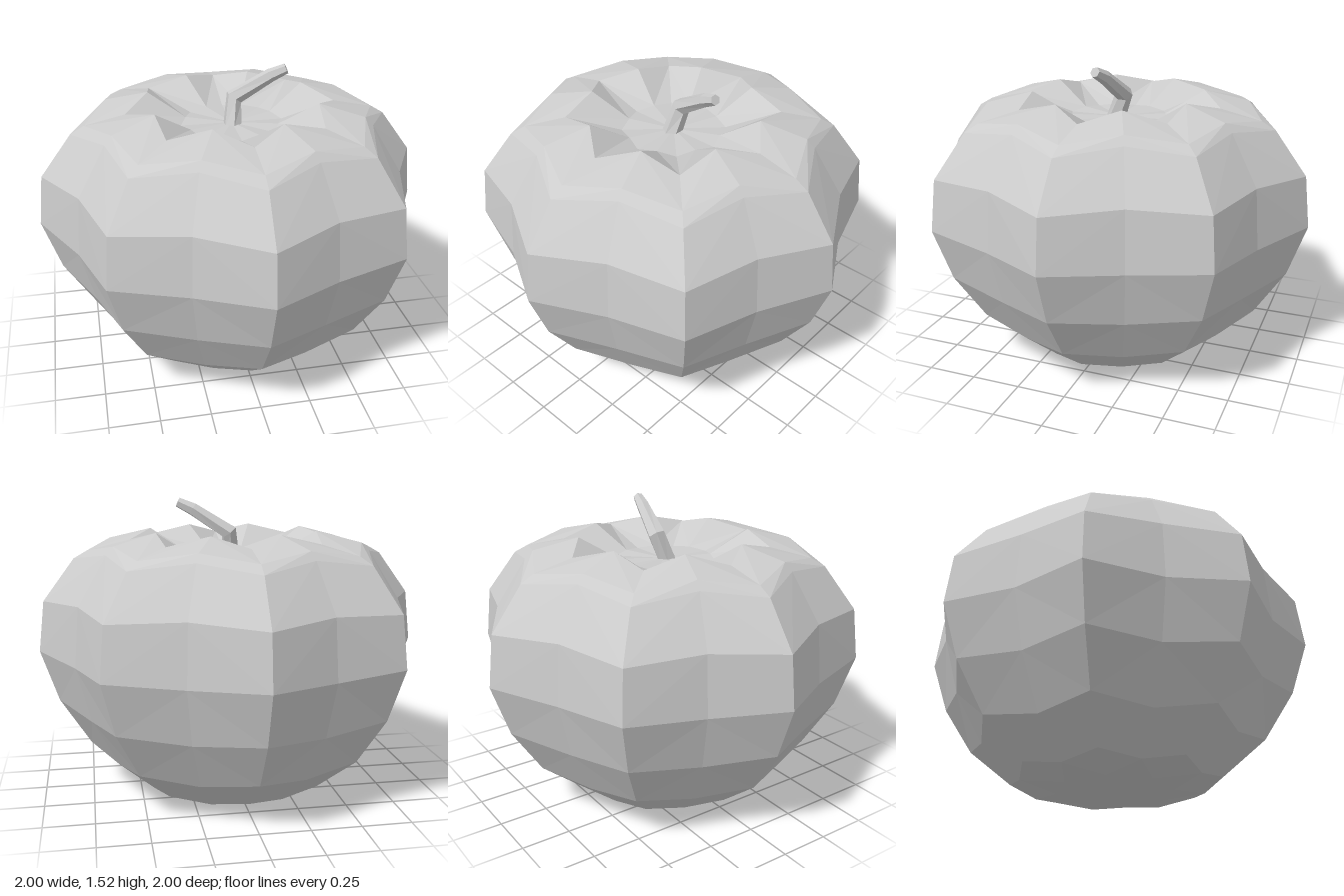
import * as THREE from 'three';

const clay = new THREE.MeshStandardMaterial({ color: 0xcccccc, flatShading: true });
clay.name = 'light grey';

// Rings from the bottom to the stem hollow: ridge radius, ridge y, valley radius, valley y
const RINGS = [
  [0.30, 0.005, 0.21, 0.0],
  [0.535, 0.06, 0.476, 0.03],
  [0.755, 0.24, 0.67, 0.20],
  [0.91, 0.48, 0.81, 0.45],
  [1.0, 0.745, 0.885, 0.73],
  [0.97, 1.005, 0.86, 1.025],
  [0.81, 1.22, 0.71, 1.26],
  [0.74, 1.26, 0.67, 1.30],
  [0.535, 1.305, 0.44, 1.355],
  [0.26, 1.225, 0.24, 1.235],
];
const SIDES = 16;

// Lobed body: every even column is a sharp ridge, every odd one a valley
function lobedBody() {
  const points = [];
  const index = [];
  for (const [ridgeR, ridgeY, valleyR, valleyY] of RINGS) {
    for (let j = 0; j < SIDES; j++) {
      const a = (j / SIDES) * Math.PI * 2;
      const r = j % 2 ? valleyR : ridgeR;
      points.push(r * Math.sin(a), j % 2 ? valleyY : ridgeY, r * Math.cos(a));
    }
  }
  const bottom = RINGS.length * SIDES;
  points.push(0, 0, 0, 0, 1.225, 0);
  const last = (RINGS.length - 1) * SIDES;
  for (let j = 0; j < SIDES; j++) {
    const k = (j + 1) % SIDES;
    for (let i = 0; i < last; i += SIDES) {
      const a = i + j, b = i + k, c = b + SIDES, d = a + SIDES;
      // Split each quad along the same side of its ridge
      if (j % 2) index.push(a, b, d, b, c, d);
      else index.push(a, b, c, a, c, d);
    }
    index.push(bottom, k, j, bottom + 1, last + j, last + k);
  }
  const geometry = new THREE.BufferGeometry();
  geometry.setAttribute('position', new THREE.Float32BufferAttribute(points, 3));
  geometry.setIndex(index);
  geometry.computeVertexNormals();
  return geometry;
}

// Bent six-sided stem: rows of a cylinder moved onto a tapering path
function bentStem() {
  const path = [[0, 1.2, 0.02], [0.02, 1.345, -0.035], [0.2, 1.46, 0.0], [0.275, 1.495, 0.018]]
    .map((p) => new THREE.Vector3(...p));
  const radii = [0.05, 0.046, 0.034, 0.026];
  const up = new THREE.Vector3(0, 1, 0);
  const turns = path.map((p, i) => {
    const tangent = path[Math.min(i + 1, 3)].clone().sub(path[Math.max(i - 1, 0)]).normalize();
    return new THREE.Quaternion().setFromUnitVectors(up, tangent);
  });
  const geometry = new THREE.CylinderGeometry(1, 1, 3, 6, 3);
  const position = geometry.attributes.position;
  const v = new THREE.Vector3();
  for (let n = 0; n < position.count; n++) {
    v.fromBufferAttribute(position, n);
    const row = Math.round(v.y + 1.5);
    v.setY(0).multiplyScalar(radii[row]).applyQuaternion(turns[row]).add(path[row]);
    position.setXYZ(n, v.x, v.y, v.z);
  }
  geometry.computeVertexNormals();
  return geometry;
}

export function createModel() {
  const model = new THREE.Group();
  model.name = 'pumpkin';
  const body = new THREE.Mesh(lobedBody(), clay);
  body.name = 'body';
  const stem = new THREE.Mesh(bentStem(), clay);
  stem.name = 'stem';
  model.add(body, stem);
  return model;
}
